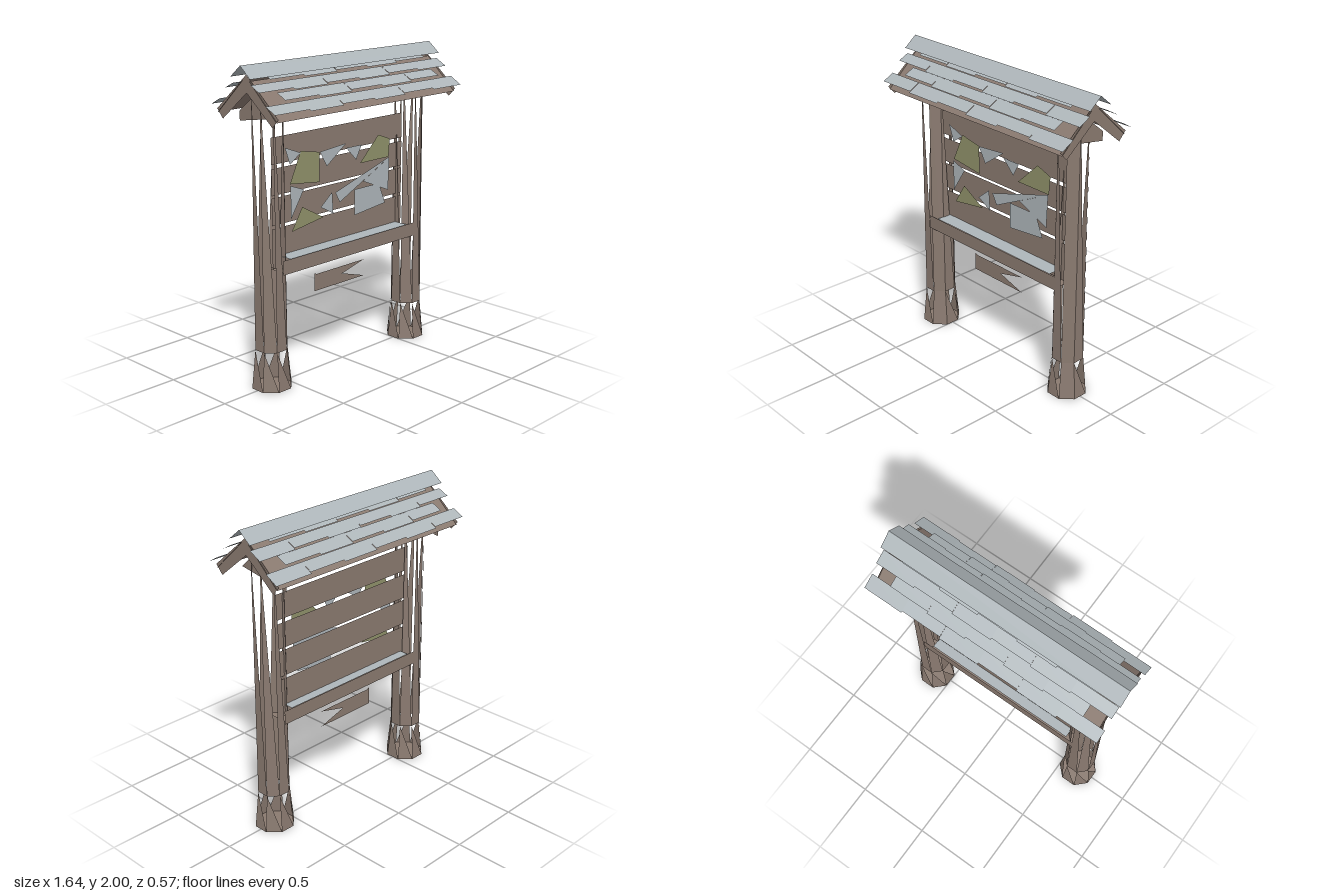
import * as THREE from 'three';

const mat = (name, color) => {
  const m = new THREE.MeshStandardMaterial({ color, side: THREE.DoubleSide });
  m.name = name;
  return m;
};

export function createModel() {
  const model = new THREE.Group();
  model.name = 'noticeBoard';
  const wood = mat('weatheredWood', 0x8a7a70);
  const slate = mat('paleGrey', 0xaeb6ba);
  const moss = mat('oliveGreen', 0x90926a);

  const add = (geometry, material, name, parent = model) => {
    const mesh = new THREE.Mesh(geometry, material);
    mesh.name = name;
    parent.add(mesh);
    return mesh;
  };

  // Flat geometry from a list of triangles, each three [x, y, z] corners
  const faces = (tris) => {
    const g = new THREE.BufferGeometry();
    g.setAttribute('position', new THREE.Float32BufferAttribute(tris.flat(2), 3));
    g.computeVertexNormals();
    return g;
  };
  const quad = (a, b, c, d) => [[a, b, c], [a, c, d]];
  const sheet = (points) =>
    new THREE.ShapeGeometry(new THREE.Shape(points.map(([x, y]) => new THREE.Vector2(x, y))));

  // Splintered octagonal posts: each side is a sliver tapering to one top corner
  const rings = [[0, 0.129], [0.25, 0.104], [1.86, 0.097]];
  const corner = (ring, i) => {
    const a = (i + 0.5) * Math.PI / 4;
    const [y, r] = rings[ring];
    return [r * Math.cos(a), y, r * Math.sin(a)];
  };
  const makePost = (x, name, fullSide) => {
    const tris = [];
    for (let i = 0; i < 8; i++) {
      for (let k = 0; k < 2; k++) {
        tris.push([corner(k, i + 1), corner(k, i), corner(k + 1, i + 1)]);
        if (i === fullSide) tris.push([corner(k, i), corner(k + 1, i), corner(k + 1, i + 1)]);
      }
      tris.push([corner(0, i), corner(0, i + 1), [0, 0, 0]]);
    }
    add(faces(tris), wood, name).position.x = x;
  };
  makePost(0.62, 'leftPost', 0);
  makePost(-0.62, 'rightPost', 0);

  // Back boards with narrow gaps
  for (const [y0, y1] of [[1.385, 1.55], [1.195, 1.36], [1.01, 1.18], [0.74, 0.99]]) {
    const board = add(new THREE.PlaneGeometry(1.16, y1 - y0), wood, 'backBoard');
    board.position.set(0, (y0 + y1) / 2, -0.02);
  }

  // Shelf tray: front and back rails, floor and a pale top
  for (const s of [1, -1]) {
    add(new THREE.PlaneGeometry(1.2, 0.09), wood, s > 0 ? 'shelfFrontRail' : 'shelfBackRail')
      .position.set(0, 0.775, s * 0.095);
  }
  const floor = add(new THREE.PlaneGeometry(1.16, 0.18), wood, 'shelfFloor');
  floor.rotation.x = Math.PI / 2;
  floor.position.y = 0.735;
  const top = add(new THREE.PlaneGeometry(1.06, 0.17), slate, 'shelfTop');
  top.rotation.x = -Math.PI / 2;
  top.position.y = 0.815;

  // Notched hanging sign
  add(sheet([[-0.25, 0.64], [-0.23, 0.63], [0.2, 0.63], [0, 0.58], [0.2, 0.52], [-0.25, 0.52]]),
    wood, 'hangingSign');

  // Torn notices
  const greyNotes = [
    [[-0.49, 1.48], [-0.36, 1.43], [-0.45, 1.37]],
    [[-0.2, 1.41], [0.03, 1.43], [-0.14, 1.31]],
    [[0.03, 1.4], [0.17, 1.4], [0.12, 1.31]],
    [[-0.45, 1.24], [-0.34, 1.2], [-0.45, 1.03]],
    [[0.43, 1.28], [-0.07, 1.13], [-0.03, 1.06]],
    [[0.43, 1.28], [0.18, 1.16], [0.42, 1.06]],
    [[-0.2, 1.06], [-0.1, 1.14], [-0.09, 1.0]],
    [[0.1, 1.12], [0.33, 1.12], [0.39, 0.98], [0.1, 0.95]],
  ];
  const greenNotes = [
    [[-0.36, 1.44], [-0.2, 1.41], [-0.2, 1.22], [-0.45, 1.25]],
    [[0.33, 1.44], [0.44, 1.4], [0.43, 1.28], [0.16, 1.28]],
    [[-0.35, 1.09], [-0.17, 0.99], [-0.44, 0.95]],
  ];
  greyNotes.forEach((p, i) => { add(sheet(p), slate, 'greyNotice').position.z = 0.004 + i * 0.001; });
  greenNotes.forEach((p) => { add(sheet(p), moss, 'greenNotice').position.z = 0.002; });

  // Sloping strip running along x, from (y0, z0) down to (y1, z1)
  const slope = (x0, x1, y0, z0, y1, z1) =>
    quad([x0, y0, z0], [x0, y1, z1], [x1, y1, z1], [x1, y0, z0]);

  // Roof slopes: deck, shingle rows and ridge cap on both sides
  const rows = [ // half width, count, top y and z, bottom y and z
    [0.67, 5, 1.945, 0.03, 1.915, 0.085],
    [0.81, 6, 1.895, 0.075, 1.86, 0.145],
    [0.67, 5, 1.845, 0.14, 1.81, 0.21],
    [0.81, 6, 1.79, 0.2, 1.75, 0.275],
  ];
  for (const s of [1, -1]) {
    const side = new THREE.Group();
    side.name = s > 0 ? 'frontRoofSlope' : 'backRoofSlope';
    model.add(side);
    add(faces(slope(-0.78 * s, 0.78 * s, 1.91, 0.03 * s, 1.7, 0.255 * s)), wood, 'roofDeck', side);
    add(faces(slope(-0.82 * s, 0.82 * s, 2, 0, 1.93, 0.085 * s)), slate, 'ridgeCap', side);
    for (const [half, count, y0, z0, y1, z1] of rows) {
      const w = (2 * half) / count;
      for (let i = 0; i < count; i++) {
        const x = -half + i * w;
        const drop = (i % 2) * 0.008; // every other shingle hangs slightly lower
        const [a, b] = s > 0 ? [x, x + w] : [x + w, x];
        add(faces(slope(a, b, y0, z0 * s, y1 - drop, (z1 + drop) * s)), slate, 'shingle', side);
      }
    }
  }

  // Gable ends: crossing rafters and a slanted infill board
  for (const s of [1, -1]) {
    for (const d of [1, -1]) {
      const x = s * 0.775;
      add(faces(quad([x, 1.945, 0], [x, 1.72, 0.265 * d], [x, 1.665, 0.215 * d], [x, 1.84, 0])),
        wood, 'rafter');
    }
    const x = s * 0.66;
    add(faces(quad([x, 1.86, 0], [x, 1.7, 0.17], [x, 1.64, -0.2], [x, 1.7, -0.2])),
      wood, 'gableBoard');
  }

  return model;
}
